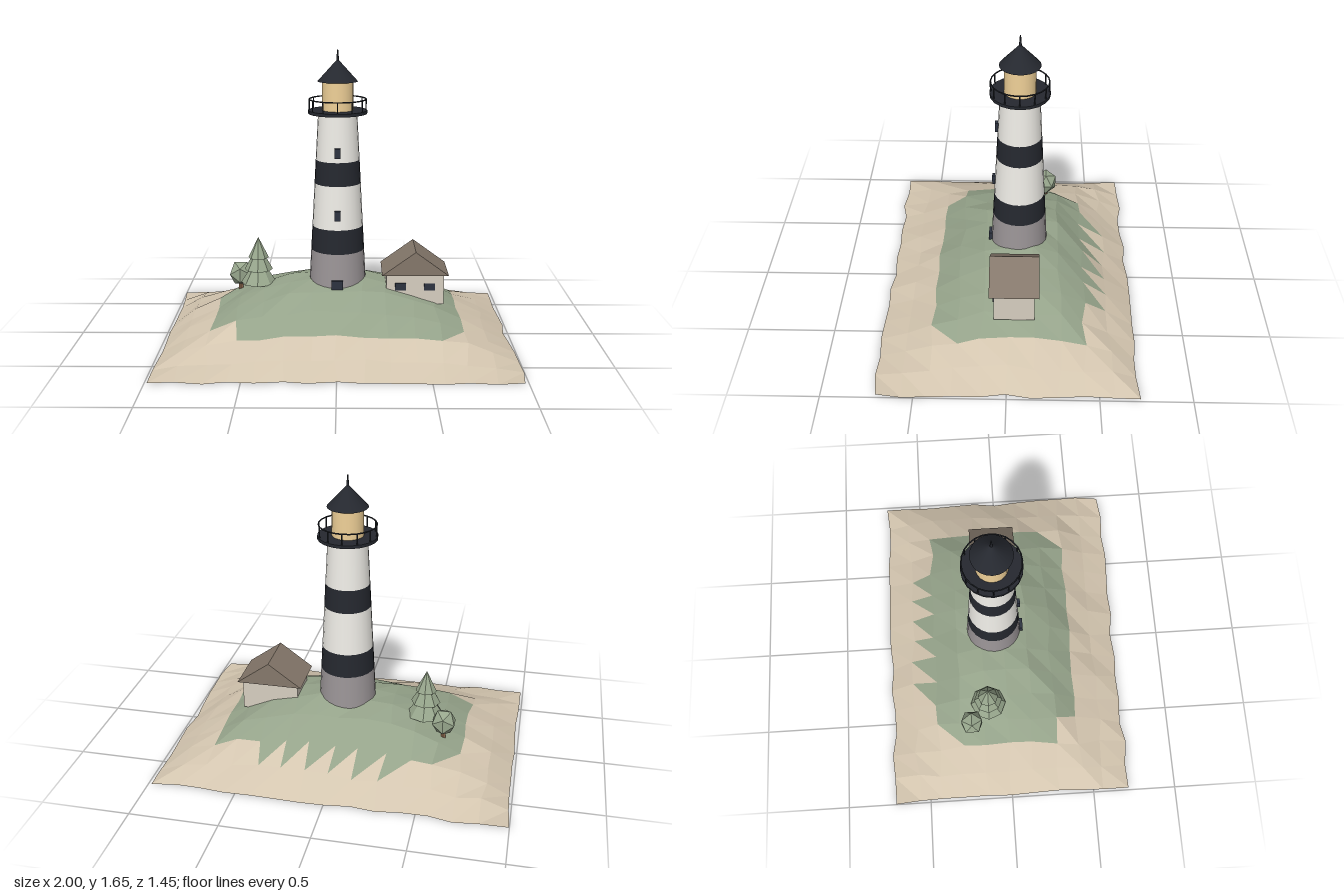
import * as THREE from 'three';

const mat = (color, flatShading = false, side = THREE.FrontSide) => {
  const m = new THREE.MeshStandardMaterial({ color, side });
  m.flatShading = flatShading;
  return m;
};
const WHITE = mat(0xf0eee8), BLACK = mat(0x25282f), GREY = mat(0x9b9597), GLOW = mat(0xf0d198);
const WALL = mat(0xd6cec0, true), ROOF = mat(0x85786b, true), PANE = mat(0x2d3340, true);
const LEAF = mat(0x98a78d, true), BARK = mat(0x8a664c, true);

function add(parent, name, geometry, material, x = 0, y = 0, z = 0) {
  const mesh = new THREE.Mesh(geometry, material);
  mesh.name = name;
  mesh.position.set(x, y, z);
  parent.add(mesh);
  return mesh;
}

function group(parent, name, x = 0, y = 0, z = 0) {
  const g = new THREE.Group();
  g.name = name;
  g.position.set(x, y, z);
  parent.add(g);
  return g;
}

function seeded(seed) {
  return () => {
    seed = (seed * 16807) % 2147483647;
    return seed / 2147483647 - 0.5;
  };
}

// Faceted hill: a jittered grid, split into a sandy rim and a grassy crown
function addIsland(parent) {
  const island = group(parent, 'island');
  const rnd = seeded(4711), NX = 14, NZ = 10;
  const rows = [0, 0.1, 0.2, 0.3, 0.35, 0.345, 0.31, 0.235, 0.15, 0.065, 0];
  const grid = [];
  for (let j = 0; j <= NZ; j++) {
    for (let i = 0; i <= NX; i++) {
      const x = -0.985 + (1.97 * i) / NX, z = -0.715 + (1.43 * j) / NZ;
      const edge = i === 0 || i === NX || j === 0 || j === NZ;
      const px = 0.355 * Math.cos((Math.PI / 2) * x), pz = rows[j];
      const y = 0.6 * px * pz / 0.355 + 0.4 * Math.min(px, pz);
      grid.push(new THREE.Vector3(
        x + rnd() * 0.03,
        edge ? (rnd() + 0.5) * 0.006 : y + rnd() * 0.02,
        z + rnd() * 0.03));
    }
  }
  const sand = [], grass = [];
  const face = (...ids) => {
    const p = ids.map((k) => grid[k]);
    const cx = ids.reduce((s, k) => s + (k % (NX + 1)) * 2 / NX - 1, 0) / 3;
    const cz = ids.reduce((s, k) => s + Math.floor(k / (NX + 1)) * 1.44 / NZ - 0.72, 0) / 3;
    const green = Math.abs(cx / 0.76) ** 3 + Math.abs((cz + 0.03) / 0.49) ** 3 < 1;
    p.forEach((v) => (green ? grass : sand).push(v.x, v.y, v.z));
  };
  for (let j = 0; j < NZ; j++) {
    for (let i = 0; i < NX; i++) {
      const a = j * (NX + 1) + i, b = a + NX + 1;
      face(a, b, a + 1);
      face(b, b + 1, a + 1);
    }
  }
  [['sand', sand, 0xd3c5af], ['grass', grass, 0x95a38a]].forEach(([name, pts, color]) => {
    const g = new THREE.BufferGeometry();
    g.setAttribute('position', new THREE.Float32BufferAttribute(pts, 3));
    g.computeVertexNormals();
    add(island, name, g, mat(color, true, THREE.DoubleSide));
  });
}

function addLighthouse(parent) {
  const tower = group(parent, 'lighthouse', 0, 0, -0.055);
  const radius = (y) => 0.17 - (y - 0.2) * 0.054;
  const drum = (name, r1, r0, y0, y1, m, sides = 24) =>
    add(tower, name, new THREE.CylinderGeometry(r1, r0, y1 - y0, sides), m, 0, (y0 + y1) / 2);

  // Striped tapering shaft
  const levels = [0.2, 0.51, 0.65, 0.9, 1.035, 1.3];
  const stripes = [GREY, BLACK, WHITE, BLACK, WHITE];
  stripes.forEach((m, i) => drum(i ? 'towerBand' : 'towerBase',
    radius(levels[i + 1]), radius(levels[i]), levels[i], levels[i + 1], m));

  // Door and shaft windows
  add(tower, 'door', new THREE.BoxGeometry(0.065, 0.09, 0.03), PANE, 0, 0.315, 0.163);
  [0.735, 1.09].forEach((y) => add(tower, 'towerWindow',
    new THREE.BoxGeometry(0.032, 0.056, 0.03), PANE, 0, y, radius(y)));

  // Gallery with railing
  drum('galleryDeck', 0.167, 0.167, 1.298, 1.316, BLACK, 20);
  const rail = add(tower, 'galleryRail', new THREE.TorusGeometry(0.16, 0.004, 6, 24), BLACK, 0, 1.378, 0);
  rail.rotation.x = Math.PI / 2;
  for (let i = 0; i < 12; i++) {
    const a = (i * Math.PI) / 6;
    add(tower, 'railPost', new THREE.CylinderGeometry(0.004, 0.004, 0.07, 6), BLACK,
      0.16 * Math.cos(a), 1.345, 0.16 * Math.sin(a));
  }

  // Lantern room, roof and finial
  drum('lantern', 0.088, 0.088, 1.31, 1.48, GLOW);
  add(tower, 'lanternRoof', new THREE.ConeGeometry(0.114, 0.125, 24), BLACK, 0, 1.5405, 0);
  drum('finial', 0.003, 0.009, 1.58, 1.655, BLACK, 8);
}

function addCottage(parent) {
  const house = group(parent, 'cottage', 0.445, 0, -0.035);
  add(house, 'walls', new THREE.BoxGeometry(0.33, 0.18, 0.225), WALL, 0, 0.3, 0);
  const gable = new THREE.Shape([
    new THREE.Vector2(-0.19, 0.388), new THREE.Vector2(0.19, 0.388), new THREE.Vector2(0, 0.527)]);
  add(house, 'roof', new THREE.ExtrudeGeometry(gable, { depth: 0.276, bevelEnabled: false }), ROOF, 0, 0, -0.138);
  [-1, 1].forEach((s) => add(house, 'cottageWindow',
    new THREE.BoxGeometry(0.062, 0.042, 0.012), PANE, s * 0.083, 0.315, 0.114));
}

function addTrees(parent) {
  // Conifer of three stacked cones
  const pine = group(parent, 'pine', -0.467, 0, -0.115);
  add(pine, 'trunk', new THREE.CylinderGeometry(0.015, 0.02, 0.12, 6), BARK, 0, 0.25, 0);
  [[0.105, 0.28, 0.16], [0.083, 0.36, 0.15], [0.06, 0.432, 0.122]].forEach(([r, y, h]) =>
    add(pine, 'foliage', new THREE.ConeGeometry(r, h, 8), LEAF, 0, y + h / 2, 0));

  // Small round tree
  const bush = group(parent, 'roundTree', -0.585, 0, -0.22);
  add(bush, 'trunk', new THREE.CylinderGeometry(0.012, 0.016, 0.1, 6), BARK, 0, 0.23, 0);
  add(bush, 'foliage', new THREE.IcosahedronGeometry(0.073, 0), LEAF, 0, 0.3, 0).scale.y = 1.1;
}

export function createModel() {
  const model = new THREE.Group();
  model.name = 'lighthouseIsland';
  addIsland(model);
  addLighthouse(model);
  addCottage(model);
  addTrees(model);
  return model;
}
